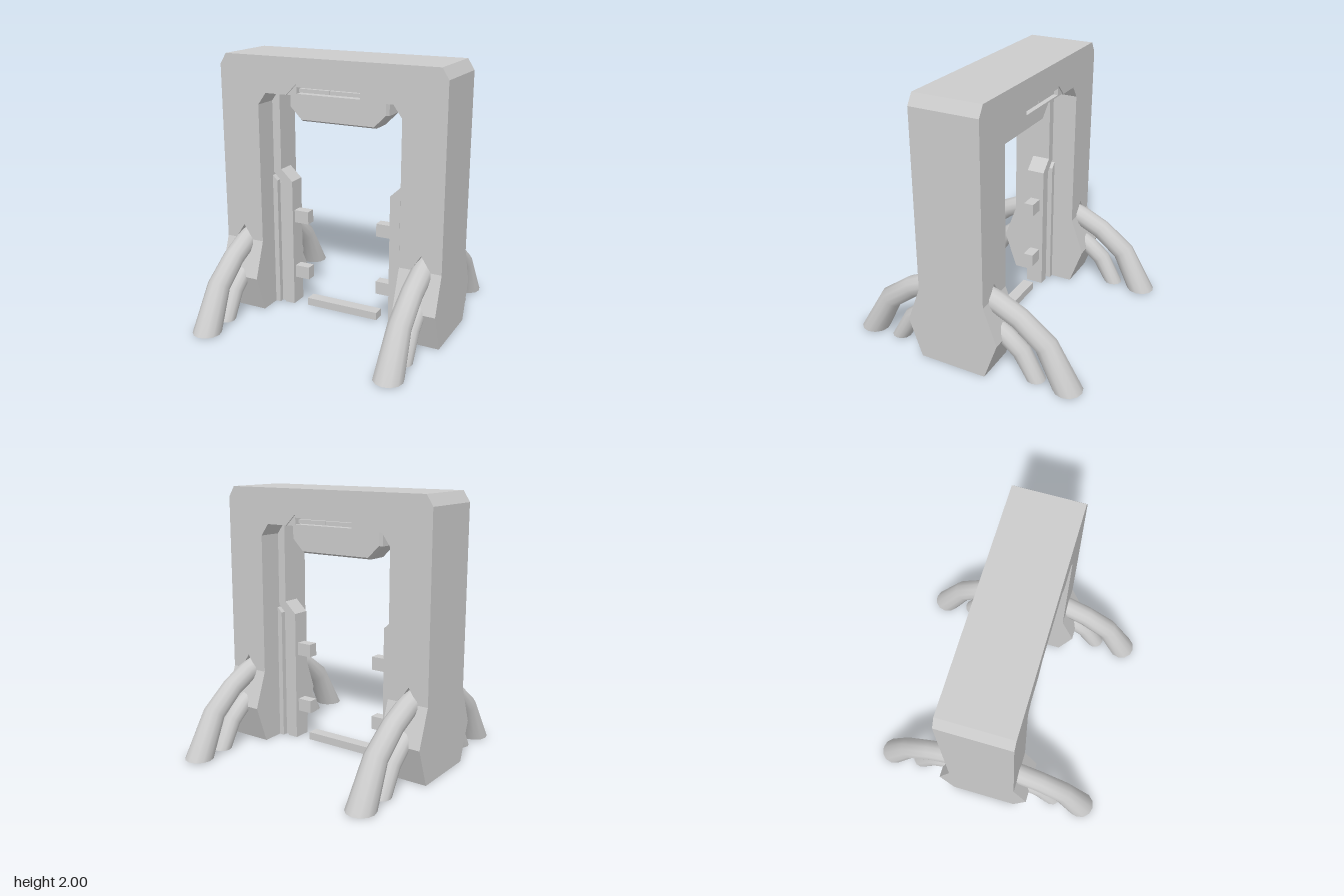
import * as THREE from 'three';

const MID = 0.02; // depth centre of the arch
const HALF = 0.26; // half depth of the arch

export function createModel() {
  const model = new THREE.Group();
  const solid = new THREE.MeshStandardMaterial({ color: 0xcccccc, flatShading: true });
  const smooth = new THREE.MeshStandardMaterial({ color: 0xcccccc, side: THREE.DoubleSide });

  const add = (name, geometry, material = solid) => {
    const mesh = new THREE.Mesh(geometry, material);
    mesh.name = name;
    model.add(mesh);
    return mesh;
  };
  const toShape = (points, holes = []) => {
    const shape = new THREE.Shape(points.map(([x, y]) => new THREE.Vector2(x, y)));
    for (const hole of holes) shape.holes.push(new THREE.Path(hole.map(([x, y]) => new THREE.Vector2(x, y))));
    return shape;
  };
  // Extrudes an x-y outline between two depths
  const slab = (points, z0, z1, holes) =>
    new THREE.ExtrudeGeometry(toShape(points, holes), { depth: z1 - z0, bevelEnabled: false }).translate(0, 0, z0);
  const centred = (points, half, holes) => slab(points, MID - half, MID + half, holes);
  const flip = (points, s) => points.map(([x, y]) => [x * s, y]);
  // Completes a left-right symmetric outline from its +x half
  const mirrored = (points) => [...points, ...flip(points, -1).reverse()];

  // Arch: solid core and two outer layers with pointed pockets for the pipes
  const arch = mirrored([
    [0.25, 1.81], [0.33, 1.73], [0.505, 1.73], [0.57, 1.64], [0.57, 0],
    [0.89, 0], [0.89, 1.92], [0.84, 2],
  ]);
  const pocket = [[0.66, 0.3], [0.81, 0.3], [0.81, 0.57], [0.735, 0.685], [0.66, 0.57]];
  const pockets = [pocket, flip(pocket, -1)];
  add('archCore', centred(arch, 0.15));
  add('archFront', slab(arch, MID + 0.15, MID + HALF, pockets));
  add('archBack', slab(arch, MID - HALF, MID - 0.15, pockets));

  // Light housing set into the lintel, with a two-part lamp slit
  const slot = [[-0.25, 1.742], [0.25, 1.742], [0.25, 1.79], [-0.25, 1.79]];
  add('lampHousing', centred(mirrored([[0.25, 1.81], [0.33, 1.73]]), 0.25, [slot]));
  for (const s of [-1, 1]) {
    const lamp = new THREE.BoxGeometry(0.243, 0.028, 0.44);
    add('lampSlit', lamp.translate(s * 0.1235, 1.762, MID));
  }
  add('lampBacking', new THREE.BoxGeometry(0.5, 0.06, 0.38).translate(0, 1.765, MID));

  // Hanging panel with bevelled rim under the lintel
  const panel = mirrored([[0.40, 1.745], [0.40, 1.61], [0.30, 1.51]]);
  add('hangingPanel', new THREE.ExtrudeGeometry(toShape(panel), {
    depth: 0.16, bevelEnabled: true, bevelThickness: 0.03, bevelSize: 0.015, bevelOffset: -0.015, bevelSegments: 1,
  }).translate(0, 0, MID - 0.08));

  // Pipe swept through [z, y, radius] stations in a vertical plane; last ring lies on the ground
  const pipe = (stations) => {
    const sides = 12, pos = [], index = [];
    stations.forEach(([z, y, r], i) => {
      const a = stations[Math.max(i - 1, 0)], b = stations[Math.min(i + 1, stations.length - 1)];
      const len = Math.hypot(b[0] - a[0], b[1] - a[1]);
      const last = i === stations.length - 1;
      const nz = last ? 1 : (a[1] - b[1]) / len, ny = last ? 0 : (b[0] - a[0]) / len;
      for (let k = 0; k < sides; k++) {
        const t = (k / sides) * Math.PI * 2, c = Math.cos(t) * r;
        pos.push(Math.sin(t) * r, y + c * ny, z + c * nz);
        if (i === 0) continue;
        const n = (k + 1) % sides, p = (i - 1) * sides, q = i * sides;
        index.push(p + k, q + k, p + n, p + n, q + k, q + n);
      }
    });
    const geometry = new THREE.BufferGeometry();
    geometry.setAttribute('position', new THREE.Float32BufferAttribute(pos, 3));
    geometry.setIndex(index);
    geometry.computeVertexNormals();
    return geometry;
  };
  const bigPipe = [[0.1, 0.6, 0.08], [0.28, 0.54, 0.08], [0.44, 0.465, 0.08], [0.645, 0.31, 0.085], [0.815, 0.005, 0.108]];
  const smallPipe = [[0.2, 0.37, 0.07], [0.34, 0.29, 0.07], [0.455, 0.2, 0.07], [0.57, 0.005, 0.072]];

  for (const s of [-1, 1]) {
    // Wedge-shaped foot swellings, front and back
    for (const f of [-1, 1]) {
      const wedge = [[MID + f * HALF, 0], [MID + f * 0.3625, 0.29], [MID + f * HALF, 0.57]];
      const foot = new THREE.ExtrudeGeometry(toShape(wedge), { depth: 0.32, bevelEnabled: false });
      foot.rotateY(-Math.PI / 2).translate(s * 0.73 + 0.16, 0, 0);
      add('footWedge', foot);

      // Pipes running from the leg down to the ground
      for (const [name, path] of [['largePipe', bigPipe], ['smallPipe', smallPipe]]) {
        const mesh = add(name, pipe(path), smooth);
        mesh.position.x = s * 0.735;
        mesh.rotation.y = f > 0 ? 0 : Math.PI;
      }
    }

    // Cranked door rail and its stepped backing plates
    add('doorRail', centred(flip([
      [0.58, 1.73], [0.505, 1.73], [0.505, 1.11], [0.41, 1.02], [0.41, 0], [0.49, 0], [0.49, 1.0], [0.58, 1.09],
    ], s), 0.07));
    add('outerPlate', centred(flip([[0.58, 0], [0.53, 0], [0.53, 1.02], [0.58, 1.07]], s), 0.09));
    add('innerPlate', centred(flip([[0.58, 0], [0.48, 0], [0.48, 0.97], [0.58, 1.07]], s), 0.05));

    // Short blocks projecting into the opening
    for (const y of [0.27, 0.733]) {
      add('railBlock', new THREE.BoxGeometry(0.13, 0.1, 0.08).translate(s * 0.355, y, MID));
    }
  }

  // Floor sill: a shallow inverted tray
  const rect = (x, z) => [[-x, -z], [x, -z], [x, z], [-x, z]];
  const rim = new THREE.ExtrudeGeometry(toShape(rect(0.3, 0.045), [rect(0.285, 0.032)]), { depth: 0.05, bevelEnabled: false });
  add('sillRim', rim.rotateX(-Math.PI / 2).translate(0, 0, MID));
  add('sillTop', new THREE.BoxGeometry(0.6, 0.015, 0.09).translate(0, 0.0525, MID));

  return model;
}
